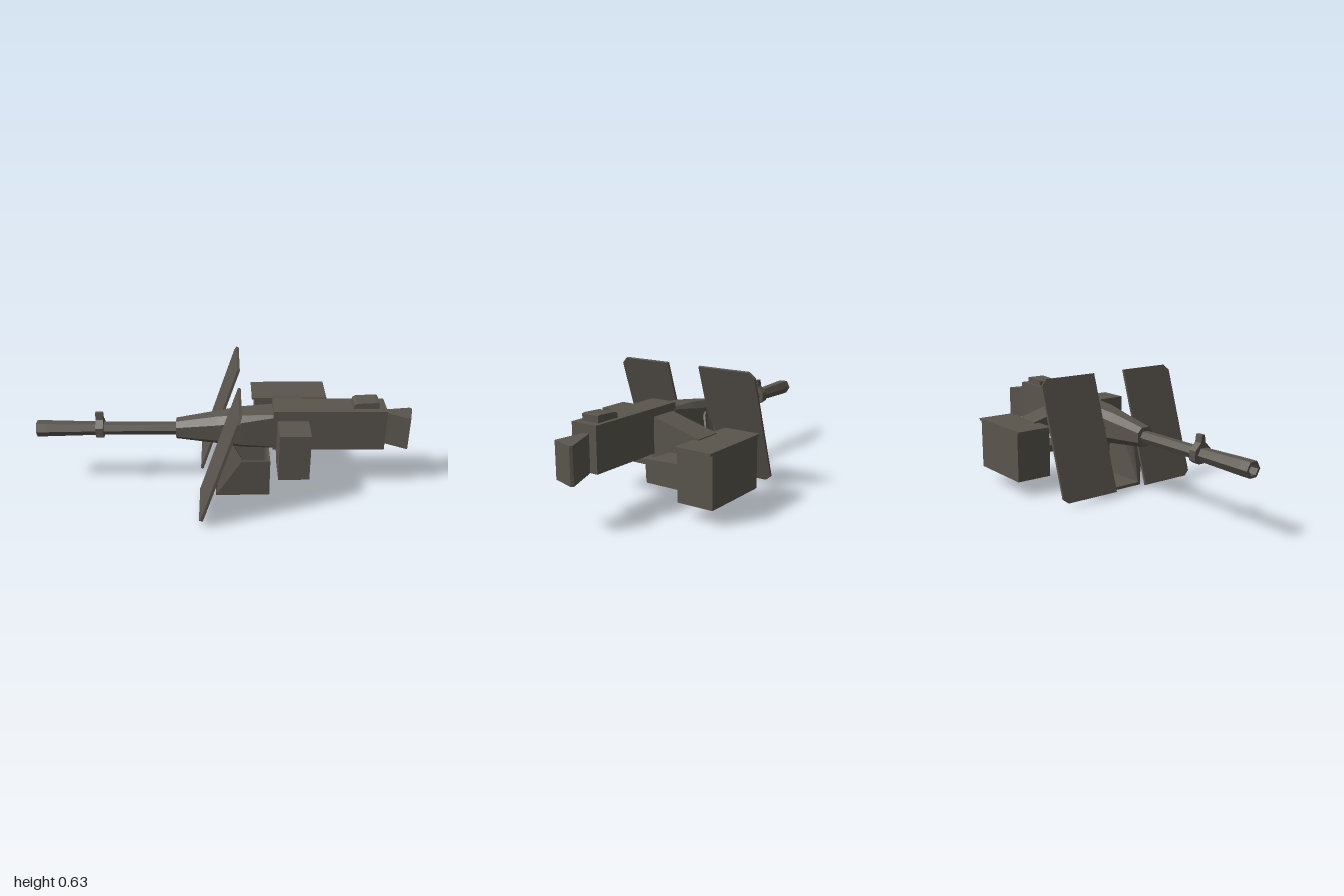
import * as THREE from 'three';

const metal = new THREE.MeshStandardMaterial({ color: 0x5a554d, flatShading: true, side: THREE.DoubleSide });
metal.name = 'gunmetal';
const MID = 0.037; // z of the bore line

export function createModel() {
  const model = new THREE.Group();

  const add = (name, geometry) => {
    const mesh = new THREE.Mesh(geometry, metal);
    mesh.name = name;
    model.add(mesh);
    return mesh;
  };
  // Box given by its limits
  const box = (name, x0, x1, y0, y1, z0, z1) =>
    add(name, new THREE.BoxGeometry(x1 - x0, y1 - y0, z1 - z0)
      .translate((x0 + x1) / 2, (y0 + y1) / 2, (z0 + z1) / 2));
  const extrude = (points, depth) => new THREE.ExtrudeGeometry(
    new THREE.Shape(points.map(([a, b]) => new THREE.Vector2(a, b))), { depth, bevelEnabled: false });
  // Profile of (z, y) points, running along x
  const alongX = (points, x0, x1) =>
    extrude(points, x1 - x0).rotateY(-Math.PI / 2).translate(x1, 0, 0);
  // Move every vertex by a rule
  const bend = (geometry, rule) => {
    const p = geometry.attributes.position, v = new THREE.Vector3();
    for (let i = 0; i < p.count; i++) {
      rule(v.fromBufferAttribute(p, i));
      p.setXYZ(i, v.x, v.y, v.z);
    }
    geometry.computeVertexNormals();
    return geometry;
  };

  // Six-sided barrel with a hollow muzzle
  const barrelProfile = [[0, 0.2], [0.034, 0.2], [0.034, 0.6], [0.043, 0.95], [0.043, 1], [0.03, 1], [0.03, 0.9], [0, 0.9]];
  add('barrel', new THREE.LatheGeometry(barrelProfile.map(([r, y]) => new THREE.Vector2(r, y)), 6)
    .rotateZ(Math.PI / 2).translate(0, 0.337, MID));

  // Front sight: collar with a tapered blade
  add('frontSight', alongX([[-0.015, 0.31], [0.01, 0.293], [0.06, 0.293], [0.085, 0.31], [0.085, 0.36],
    [0.05, 0.395], [0.045, 0.432], [0.025, 0.432], [0.02, 0.395], [-0.015, 0.36]], -0.685, -0.645));

  // Tapered barrel housing lofted through eight-sided sections: x, bottom, top, half width, corner cut
  const sections = [[-0.26, 0.287, 0.388, 0.048, 0.025], [-0.04, 0.262, 0.425, 0.068, 0.035],
    [0.08, 0.25, 0.44, 0.08, 0.03], [0.26, 0.25, 0.45, 0.074, 0.012]];
  const positions = [], index = [];
  for (const [x, b, t, w, c] of sections) {
    for (const [z, y] of [[-w + c, b], [w - c, b], [w, b + c], [w, t - c], [w - c, t], [-w + c, t], [-w, t - c], [-w, b + c]])
      positions.push(x, y, MID + z);
  }
  for (let s = 0; s < sections.length - 1; s++) {
    for (let i = 0; i < 8; i++) {
      const a = s * 8 + i, b = s * 8 + (i + 1) % 8;
      index.push(a, a + 8, b, b, a + 8, b + 8);
    }
  }
  for (let i = 1; i < 7; i++) index.push(0, i, i + 1, 24, 24 + i + 1, 24 + i);
  const housing = new THREE.BufferGeometry();
  housing.setAttribute('position', new THREE.Float32BufferAttribute(positions, 3));
  housing.setIndex(index);
  housing.computeVertexNormals();
  add('barrelHousing', housing);

  // Receiver and rear sight
  box('receiver', 0.25, 0.84, 0.247, 0.475, -0.033, 0.115);
  add('rearSight', extrude([[0.665, 0.47], [0.8, 0.47], [0.8, 0.508], [0.785, 0.511], [0.685, 0.506], [0.67, 0.498]], 0.097)
    .translate(0, 0, -0.011));

  // Flared rear grip
  const grip = extrude([[0.835, -0.042], [0.97, -0.095], [1, 0.022], [0.99, 0.034], [0.835, -0.012]], 0.185)
    .rotateX(-Math.PI / 2).translate(0, 0.247, 0);
  // (x, -z) outline stands up along y; the back end sinks a little
  add('rearGrip', bend(grip, (v) => { v.y -= (v.x - 0.835) * 0.09; }));

  // Feed: outer case, tray under the receiver and chute to the ammunition box
  add('feedCase', alongX([[0.3, 0.18], [0.3, 0.435], [0.15, 0.435], [0.11, 0.42], [0.11, 0.18]], 0.27, 0.43));
  add('feedTray', alongX([[0.3, 0.18], [0, 0.21], [-0.28, 0.22], [-0.28, 0.18]], 0.275, 0.428));
  add('feedChute', alongX([[-0.02, 0.437], [-0.3, 0.36], [-0.3, 0.345], [-0.02, 0.222]], 0.275, 0.428));

  // Ammunition box and its overhanging lid
  box('ammunitionBox', 0.17, 0.557, 0.08, 0.345, -0.468, -0.27);
  box('ammunitionLid', 0.152, 0.575, 0.343, 0.355, -0.47, -0.268);

  // Cradle: two side walls leaning to the trunnions, floor and end wall
  const side = [[-0.05, 0.002], [0.235, 0.008], [0.235, 0.22], [0.085, 0.22], [0.08, 0.24], [0.04, 0.3],
    [0.015, 0.36], [-0.005, 0.375], [-0.03, 0.32], [-0.045, 0.22]];
  for (const s of [-1, 1]) {
    const wall = extrude(side, 0.012).translate(0, 0, -0.006);
    add(s > 0 ? 'leftCradleWall' : 'rightCradleWall', bend(wall, (v) => {
      const lean = v.y < 0.22 ? 0.133 + v.y * 0.05 : 0.144 - (v.y - 0.22) * 0.42;
      v.z = 0.04 + s * lean + v.z;
    }));
  }
  box('cradleFloor', -0.05, 0.235, 0, 0.015, -0.097, 0.177);
  box('cradleEnd', 0.222, 0.236, 0.005, 0.21, -0.099, 0.179);
  // Trunnion pin
  add('trunnion', new THREE.CylinderGeometry(0.018, 0.018, 0.18, 6)
    .rotateX(Math.PI / 2).translate(0, 0.345, 0.04));

  // Pair of leaning shields with clipped outer corners
  const H = 0.642, C = 0.032;
  for (const [name, inner, outer] of [['leftShield', 0.15, 0.47], ['rightShield', -0.05, -0.383]]) {
    const cut = outer - Math.sign(outer) * C;
    add(name, extrude([[inner, 0], [cut, 0], [outer, C * 0.8], [outer, H - C], [cut, H], [inner, H]], 0.014)
      .rotateY(-Math.PI / 2).rotateZ(-0.316).translate(-0.123, 0.02, 0));
  }

  return model;
}
